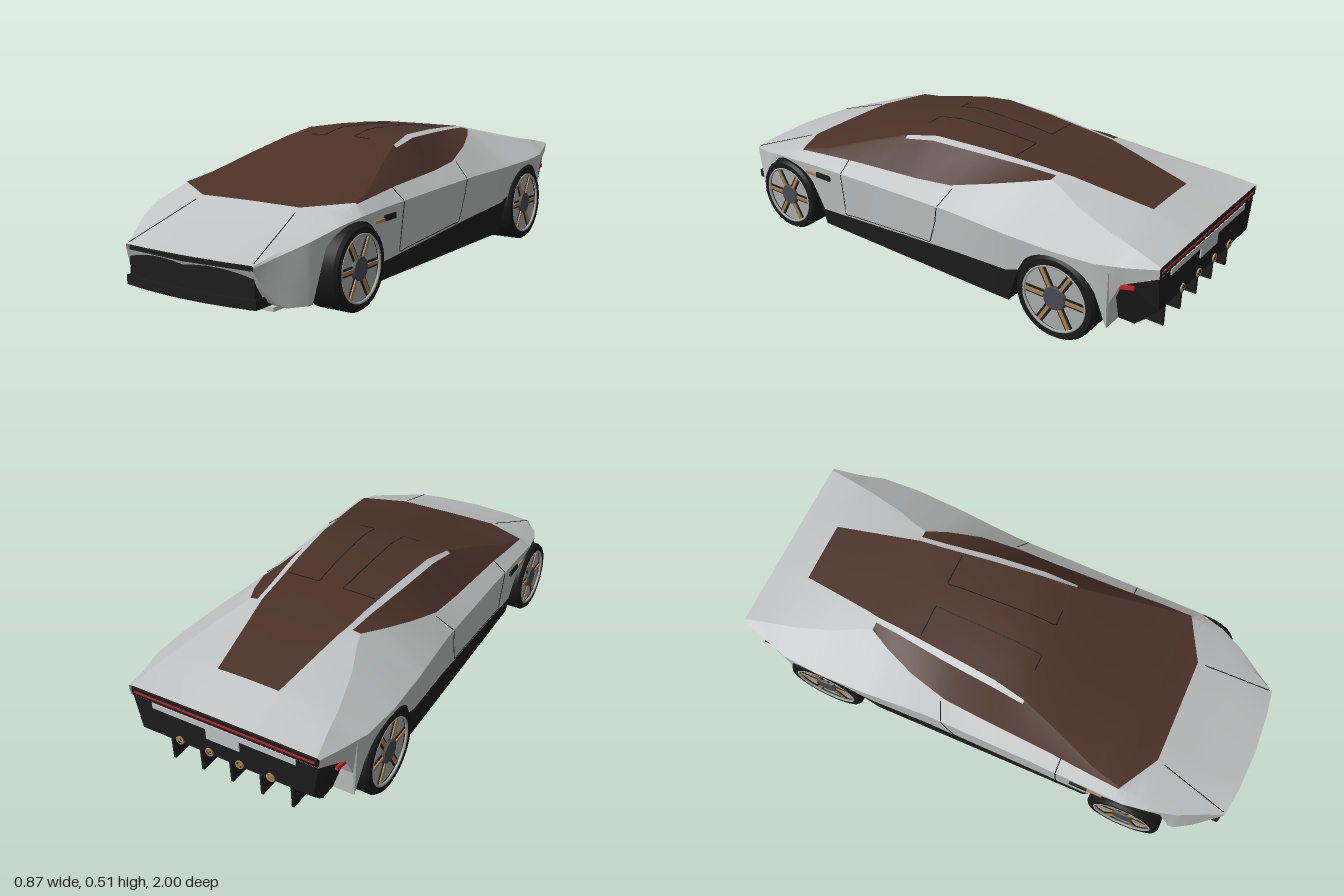
import * as THREE from 'three';
import { toCreasedNormals } from 'three/addons/utils/BufferGeometryUtils.js';

const mat = (name, color, side = THREE.FrontSide) => {
  const m = new THREE.MeshStandardMaterial({ color, side });
  m.name = name;
  return m;
};

// Long body lines, front to back: [z, x, y]
const SHOULDER = [[.97, .27, .2], [.9, .305, .225], [.8, .36, .26], [.7, .395, .292], [.6, .415, .31], [.45, .413, .316],
  [.2, .41, .322], [-.2, .41, .33], [-.45, .428, .335], [-.65, .435, .34], [-.8, .425, .345], [-.9, .395, .352], [-1, .37, .37]];
const BELT = [[.97, .268, .206], [.9, .295, .232], [.8, .325, .267], [.66, .36, .317], [.57, .375, .342], [.45, .37, .352],
  [.3, .36, .362], [0, .347, .375], [-.15, .34, .39], [-.3, .31, .43], [-.42, .265, .457], [-.5, .225, .473],
  [-.55, .24, .463], [-.65, .28, .435], [-.8, .32, .408], [-.9, .34, .394], [-1, .36, .374]];
const RAIL = [[.97, .267, .2065], [.66, .22, .327], [.57, .372, .345], [.45, .352, .368], [.3, .303, .42], [.13, .258, .468],
  [0, .25, .491], [-.2, .232, .49], [-.4, .205, .483], [-.5, .195, .478], [-.55, .185, .473], [-.84, .14, .424], [-1, .13, .376]];
const ROOF_EDGE = [[.97, .265, .207], [.66, .21, .328], [.57, .37, .346], [.45, .345, .372], [.3, .295, .425], [.13, .245, .478],
  [0, .225, .502], [-.2, .205, .5], [-.4, .183, .49], [-.5, .175, .483], [-.55, .165, .477], [-.84, .12, .425], [-1, .12, .376]];
const CENTRE = [[.97, 0, .21], [.66, 0, .33], [.57, 0, .358], [.3, 0, .445], [.13, 0, .495], [.05, 0, .511], [0, 0, .515],
  [-.2, 0, .508], [-.4, 0, .492], [-.55, 0, .478], [-.84, 0, .427], [-1, 0, .376]];
// Lower edge (x) and floor height (y)
const LOWER = [[.97, .268, .19], [.95, .28, .14], [.91, .305, .08], [.88, .325, .062], [.82, .362, .06], [.6, .378, .058],
  [.45, .385, .056], [-.5, .395, .056], [-.65, .4, .075], [-.8, .395, .09], [-.84, .392, .1], [-.845, .392, .2],
  [-.88, .388, .28], [-1, .365, .335]];
const SILL = [[.97, 0, .12], [.47, 0, .12], [-.5, 0, .19], [-1, 0, .19]];
const WHEELS = [{ z: .62, r: .145, name: 'front' }, { z: -.655, r: .156, name: 'rear' }];
const GAP = .007;

const lerp = THREE.MathUtils.lerp;
function at(line, z) {
  let i = 0;
  while (i < line.length - 2 && z < line[i + 1][0]) i++;
  const [a, b] = [line[i], line[i + 1]];
  const t = THREE.MathUtils.clamp((z - a[0]) / (b[0] - a[0]), 0, 1);
  return [lerp(a[1], b[1], t), lerp(a[2], b[2], t)];
}

// Half cross-section from the floor centre, out around the side and up to the roof centre
function section(z) {
  const [lx, f] = at(LOWER, z), s = at(SHOULDER, z), edge = at(ROOF_EDGE, z), c = at(CENTRE, z);
  let arch = f;
  for (const w of WHEELS) {
    const h = (w.r + GAP) ** 2 - (z - w.z) ** 2;
    if (h > 0) arch = Math.max(arch, w.r + Math.sqrt(h));
  }
  const sideX = y => lerp(lx, s[0], THREE.MathUtils.clamp((y - f) / (s[1] - f), 0, 1));
  const sill = Math.min(Math.max(at(SILL, z)[1], arch), s[1]);
  const inner = Math.min(.28, lx - .01);
  const pts = [[0, f], [inner, f], [inner, arch], [sideX(arch), arch], [sideX(sill), sill], s, at(BELT, z), at(RAIL, z),
    edge, [edge[0] * .6, lerp(c[1], edge[1], .4)], c];
  const bow = .025 * Math.max(0, (z - .8) / .17);
  return pts.map(([x, y]) => new THREE.Vector3(x, y, z + bow * Math.max(0, 1 - (x / .28) ** 2)));
}

// Which colour each strip of the shell takes
function stripPart(i, z) {
  if (i === 0) return z < .45 && z > -.5 ? 'underside' : 'bodyPanels';
  if (i === 1 || i === 2) return z > .8 || z < -.8 ? 'bodyPanels' : 'underside';
  if (i === 3) return z < .5 && z > -.53 ? 'underside' : 'bodyPanels';
  if (i === 6) return z < .57 && z > -.5 ? 'glass' : 'bodyPanels';
  if (i === 7) return z < .57 && z > .13 ? 'glass' : 'bodyPanels';
  if (i >= 8) return z < .66 && z > -.84 ? 'glass' : 'bodyPanels';
  return 'bodyPanels';
}

function buildShell() {
  const zs = [SHOULDER, BELT, RAIL, ROOF_EDGE, CENTRE, LOWER, SILL].flatMap(l => l.map(p => p[0]));
  for (const w of WHEELS) for (let i = 0; i <= 18; i++) zs.push(w.z + .127 * Math.cos(Math.PI * i / 18));
  zs.sort((a, b) => b - a);
  const stations = zs.filter((z, i) => i === 0 || zs[i - 1] - z > 1e-3);
  const rings = stations.map(section);
  const out = { bodyPanels: [], glass: [], underside: [] };
  const area = new THREE.Triangle();
  const tri = (list, a, b, c) => {
    area.set(a, b, c);
    if (area.getArea() < 1e-8) return;
    for (const p of [a, b, c]) list.push(p.x, p.y, p.z);
    for (const p of [a, c, b]) list.push(-p.x, p.y, p.z);
  };
  for (let k = 0; k < rings.length - 1; k++) {
    for (let i = 0; i < 10; i++) {
      const list = out[stripPart(i, (stations[k] + stations[k + 1]) / 2)];
      const a = rings[k][i], b = rings[k][i + 1], c = rings[k + 1][i + 1], d = rings[k + 1][i];
      tri(list, a, d, c);
      tri(list, a, c, b);
    }
  }
  return out;
}

export function createModel() {
  const car = new THREE.Group();
  car.name = 'sportsCar';
  const silver = mat('silver paint', 0xc0c3c3, THREE.DoubleSide), brown = mat('brown glass', 0x4b3228, THREE.DoubleSide);
  const black = mat('black trim', 0x1d1d1d, THREE.DoubleSide), rubber = mat('tyre rubber', 0x191919);
  const rim = mat('rim grey', 0xa9acac), steel = mat('dark steel', 0x474b52);
  const gold = mat('gold', 0xa9834c), red = mat('red light', 0xcc2222);

  const add = (name, geo, m, x = 0, y = 0, z = 0, parent = car) => {
    const mesh = new THREE.Mesh(geo, m);
    mesh.name = name;
    mesh.position.set(x, y, z);
    parent.add(mesh);
    return mesh;
  };
  const box = (name, m, w, h, d, x, y, z, parent) => add(name, new THREE.BoxGeometry(w, h, d), m, x, y, z, parent);

  // Body shell, windows and underside
  const shell = buildShell(), paint = { bodyPanels: silver, glass: brown, underside: black };
  for (const name in shell) {
    const geo = new THREE.BufferGeometry();
    geo.setAttribute('position', new THREE.Float32BufferAttribute(shell[name], 3));
    add(name, toCreasedNormals(geo, .35), paint[name]);
  }

  // Panel gaps: paths of [z, position around the section], mirrored
  const seam = (name, path) => {
    for (const side of [1, -1]) {
      const pts = [];
      for (let k = 0; k < path.length - 1; k++) for (let j = 0; j < 10; j++) {
        const z = lerp(path[k][0], path[k + 1][0], j / 10), u = lerp(path[k][1], path[k + 1][1], j / 10);
        const ring = section(z), i = Math.min(Math.floor(u), 9);
        const p = ring[i].clone().lerp(ring[i + 1], u - i);
        p.x *= side;
        pts.push(p);
      }
      add(name, new THREE.TubeGeometry(new THREE.CatmullRomCurve3(pts), pts.length * 2, .002, 4), black);
    }
  };
  seam('doorGap', [[.33, 6], [.33, 4.05], [-.1, 4.05], [-.13, 4.6], [-.17, 6]]);
  seam('roofPanelGap', [[.12, 9.1], [.12, 9.55], [-.32, 9.55], [-.32, 8]]);
  seam('hoodGap', [[.96, 8], [.66, 8]]);

  // Nose: bowed grille block and splitter
  const bowed = (name, half, back, front, y, h) => {
    const s = new THREE.Shape();
    s.moveTo(-half, -back);
    s.lineTo(-half, -front);
    s.quadraticCurveTo(0, -front - .055, half, -front);
    s.lineTo(half, -back);
    const geo = new THREE.ExtrudeGeometry(s, { depth: h, bevelEnabled: false, curveSegments: 12 });
    geo.rotateX(-Math.PI / 2);
    add(name, toCreasedNormals(geo, .5), black, 0, y, 0);
  };
  bowed('grille', .264, .88, .962, .09, .113);
  bowed('splitter', .275, .84, .968, .068, .032);
  box('noseUndertray', silver, .59, .014, .06, 0, .06, .88);

  // Rear bumper, narrowing towards the ground
  const profile = [[-.83, .1], [-.83, .29], [-.88, .305], [-.995, .335], [-.995, .2], [-.95, .15], [-.9, .1]];
  const bumper = new THREE.ExtrudeGeometry(new THREE.Shape(profile.map(p => new THREE.Vector2(-p[0], p[1]))),
    { depth: .76, bevelEnabled: false });
  bumper.translate(0, 0, -.38);
  bumper.rotateY(Math.PI / 2);
  const bp = bumper.attributes.position;
  for (let i = 0; i < bp.count; i++) {
    const t = THREE.MathUtils.clamp((bp.getY(i) - .1) / .19, 0, 1);
    bp.setX(i, bp.getX(i) * lerp(.82, bp.getZ(i) < -.95 ? .95 : 1, t));
  }
  bumper.computeVertexNormals();
  add('rearBumper', bumper, black);
  box('lightBar', black, .72, .034, .04, 0, .35, -.979);
  box('tailLight', red, .7, .007, .004, 0, .35, -.999);
  box('rearTrim', silver, .56, .022, .006, 0, .319, -.996);
  box('ratingPlate', silver, .13, .045, .006, 0, .29, -.996);

  // Diffuser fins and exhausts
  for (let i = -2; i <= 2; i++) box('diffuserFin', black, .01, .13, .1, i * .12, .15, -.92);
  for (let i = -1.5; i <= 1.5; i++) {
    const pipe = add('exhaust', new THREE.CylinderGeometry(.016, .016, .05, 12), gold, i * .12, .21, -.975);
    pipe.rotation.x = Math.PI / 2;
    const bore = add('exhaustBore', new THREE.CircleGeometry(.011, 12), black, i * .12, .21, -1);
    bore.rotation.y = Math.PI;
  }

  // Side details
  for (const s of [1, -1]) {
    box('sideVent', black, .014, .02, .07, s * .41, .28, .425);
    box('sideVentBlade', gold, .014, .01, .06, s * .409, .276, .49);
    box('sideTailLight', red, .01, .012, .07, s * .381, .272, -.89).rotation.x = .25;
  }

  // Wheels, built on a vertical axis and laid over
  const tyreProfile = [[0, -.07], [.92, -.07], [1, -.058], [1, .058], [.94, .07], [.8, .07], [.78, .05]];
  for (const w of WHEELS) for (const s of [1, -1]) {
    const wheel = new THREE.Group(), k = w.r;
    wheel.name = w.name + (s > 0 ? 'LeftWheel' : 'RightWheel');
    wheel.position.set(s * .357, w.r, w.z);
    wheel.rotation.z = -s * Math.PI / 2;
    const tyre = new THREE.LatheGeometry(tyreProfile.map(p => new THREE.Vector2(p[0] * k, p[1])), 40);
    add('tyre', toCreasedNormals(tyre, .6), rubber, 0, 0, 0, wheel);
    add('rimDisc', new THREE.CylinderGeometry(.79 * k, .79 * k, .01, 40), rim, 0, .052, 0, wheel);
    add('rimLip', new THREE.TorusGeometry(.78 * k, .005, 6, 40), rim, 0, .067, 0, wheel).rotation.x = Math.PI / 2;
    for (let i = 0; i < 6; i++) {
      const spoke = new THREE.Group();
      spoke.name = 'spoke';
      spoke.rotation.y = i * Math.PI / 3 + Math.PI / 6;
      wheel.add(spoke);
      box('spokeSlot', black, .5 * k, .008, .19 * k, .51 * k, .056, 0, spoke);
      box('spokeBlade', gold, .48 * k, .008, .08 * k, .51 * k, .061, 0, spoke);
    }
    add('hub', new THREE.CylinderGeometry(.27 * k, .31 * k, .018, 12), steel, 0, .06, 0, wheel);
    car.add(wheel);
  }
  return car;
}
